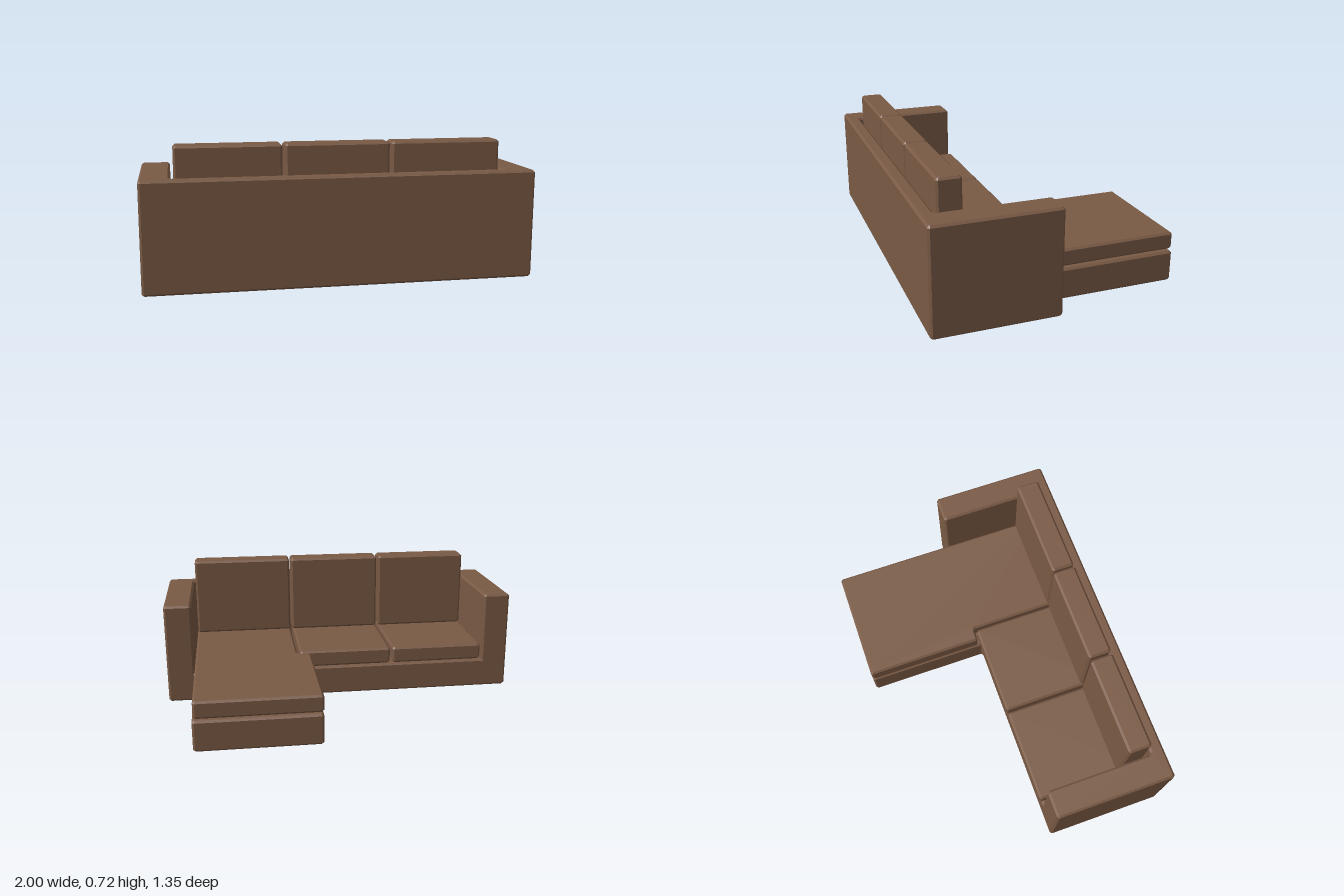
import * as THREE from 'three';

const BEVEL = 0.011;
const upholstery = new THREE.MeshStandardMaterial({ color: 0x7a5a45 });
upholstery.name = 'brown upholstery';

// Cut every corner of an outline so the upright edges are chamfered too.
function chamferedShape(points) {
  const corners = points.map(([x, z]) => new THREE.Vector2(x, -z));
  const cut = [];
  corners.forEach((p, i) => {
    const prev = corners[(i + corners.length - 1) % corners.length];
    const next = corners[(i + 1) % corners.length];
    for (const q of [prev, next]) {
      cut.push(q.clone().sub(p).setLength(BEVEL).add(p));
    }
  });
  return new THREE.Shape(cut);
}

// Chamfered slab: a plan outline of [x, z] corners raised from y0 to y1.
function slab(name, points, y0, y1) {
  const geometry = new THREE.ExtrudeGeometry(chamferedShape(points), {
    depth: y1 - y0 - 2 * BEVEL,
    bevelEnabled: true,
    bevelSegments: 1,
    bevelThickness: BEVEL,
    bevelSize: BEVEL,
    bevelOffset: -BEVEL,
  });
  geometry.rotateX(-Math.PI / 2);
  geometry.translate(0, y0 + BEVEL, 0);
  const mesh = new THREE.Mesh(geometry, upholstery);
  mesh.name = name;
  return mesh;
}

const rect = (x0, x1, z0, z1) => [[x0, z0], [x0, z1], [x1, z1], [x1, z0]];

export function createModel() {
  const sofa = new THREE.Group();
  sofa.name = 'cornerSofa';

  // Arms and backrest in one U-shaped wall
  sofa.add(slab('armsAndBack', [
    [-1, 0.015], [-1, 0.675], [1, 0.675], [1, 0.015],
    [0.848, 0.015], [0.848, 0.602], [-0.848, 0.602], [-0.848, 0.015],
  ], 0, 0.565));

  // L-shaped base, running out under the chaise
  sofa.add(slab('base', [
    [-1, 0.015], [-1, 0.675], [1, 0.675], [1, 0.015],
    [0.843, 0.015], [0.843, -0.675], [0.183, -0.675], [0.183, 0.015],
  ], 0, 0.167));

  // Seat cushions
  const seatBottom = 0.177, seatTop = 0.27;
  [[-0.832, -0.303], [-0.287, 0.242]].forEach(([x0, x1], i) => {
    sofa.add(slab(`seatCushion${i + 1}`, rect(x0, x1, 0, 0.585), seatBottom, seatTop));
  });

  // Chaise cushion, narrower where it meets the seats
  sofa.add(slab('chaiseCushion', [
    [0.183, -0.675], [0.183, -0.012], [0.258, -0.012],
    [0.258, 0.585], [0.836, 0.585], [0.836, -0.675],
  ], seatBottom, seatTop));

  // Back cushions
  [[-0.832, -0.297], [-0.284, 0.25], [0.26, 0.832]].forEach(([x0, x1], i) => {
    sofa.add(slab(`backCushion${i + 1}`, rect(x0, x1, 0.458, 0.585), seatTop, 0.717));
  });

  return sofa;
}
